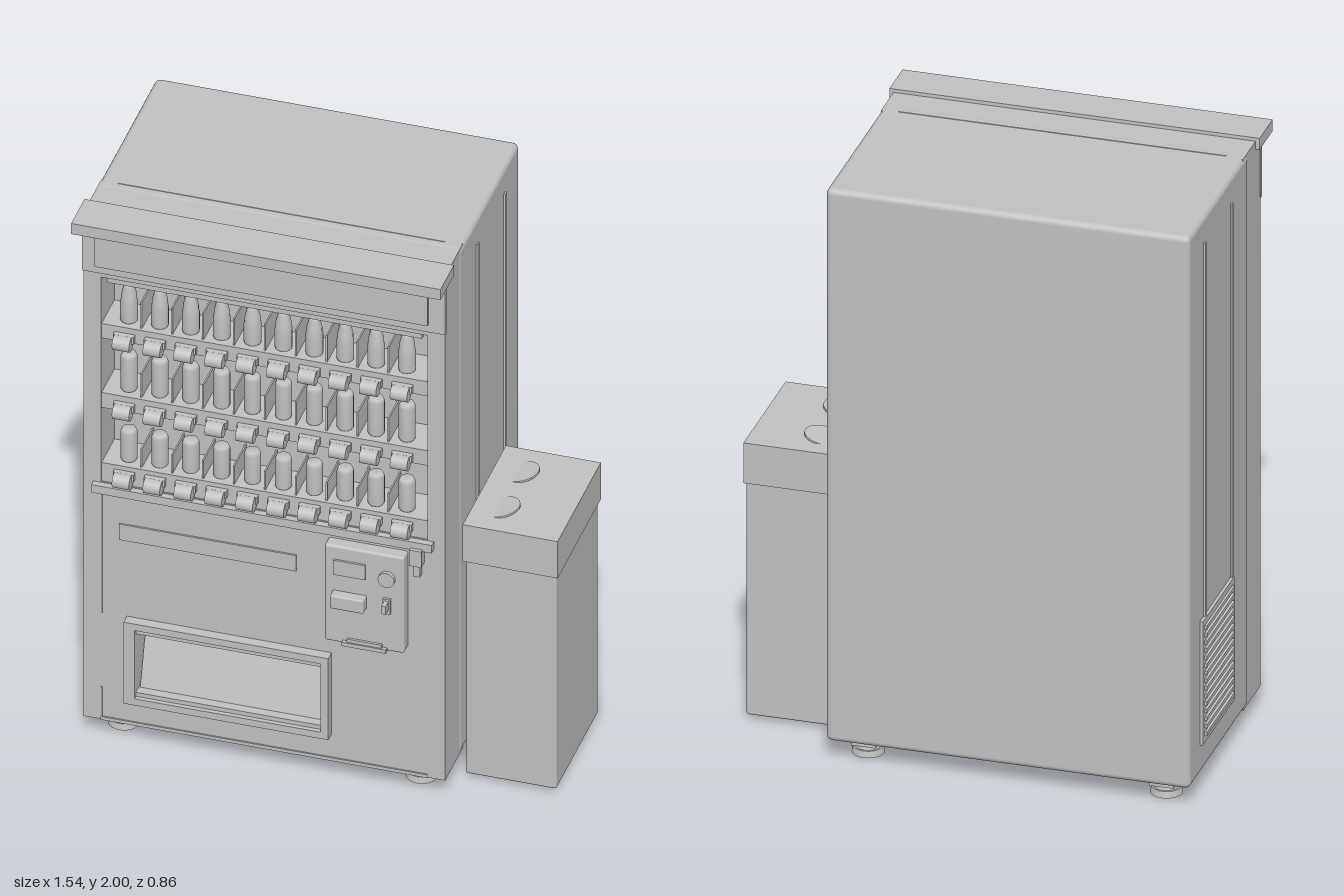
import * as THREE from 'three';
import { RoundedBoxGeometry } from 'three/addons/geometries/RoundedBoxGeometry.js';

export function createModel() {
  const model = new THREE.Group();
  model.name = 'vendingMachineWithBin';
  const grey = new THREE.MeshStandardMaterial({ color: 0xc0c0c0 });
  grey.name = 'plain grey';

  const add = (name, geometry, x = 0, y = 0, z = 0) => {
    const mesh = new THREE.Mesh(geometry, grey);
    mesh.name = name;
    mesh.position.set(x, y, z);
    model.add(mesh);
    return mesh;
  };
  // box given by its limits on each axis
  const box = (name, x0, x1, y0, y1, z0, z1) =>
    add(name, new THREE.BoxGeometry(x1 - x0, y1 - y0, z1 - z0), (x0 + x1) / 2, (y0 + y1) / 2, (z0 + z1) / 2);
  const roundBox = (name, x0, x1, y0, y1, z0, z1, r) =>
    add(name, new RoundedBoxGeometry(x1 - x0, y1 - y0, z1 - z0, 3, r), (x0 + x1) / 2, (y0 + y1) / 2, (z0 + z1) / 2);
  const trace = (path, x0, x1, y0, y1) =>
    path.moveTo(x0, y0).lineTo(x1, y0).lineTo(x1, y1).lineTo(x0, y1).closePath();
  // plate in the front plane with rectangular holes
  const plate = (name, outer, holes, z0, z1) => {
    const shape = trace(new THREE.Shape(), ...outer);
    holes.forEach((h) => shape.holes.push(trace(new THREE.Path(), ...h)));
    return add(name, new THREE.ExtrudeGeometry(shape, { depth: z1 - z0, bevelEnabled: false }), 0, 0, z0);
  };

  // cabinet and front door with window and dispenser openings
  roundBox('cabinet', -0.75, 0.44, 0.065, 1.99, -0.43, 0.2, 0.02);
  plate('door', [-0.747, 0.437, 0.065, 1.988],
    [[-0.69, 0.38, 0.97, 1.75], [-0.57, 0.04, 0.19, 0.45]], 0.155, 0.34);
  box('topCap', -0.76, 0.45, 1.96, 2.0, 0.29, 0.43);
  box('topSeam', -0.69, 0.38, 1.985, 1.992, 0.158, 0.165);
  box('header', -0.75, 0.44, 1.77, 1.96, 0.335, 0.349);
  box('headerSign', -0.705, 0.385, 1.8, 1.945, 0.345, 0.36);
  box('lampBar', -0.67, 0.36, 1.73, 1.75, 0.27, 0.335);
  box('sill', -0.715, 0.4, 0.938, 0.968, 0.33, 0.362);
  box('kickSeam', -0.69, 0.38, 0.066, 0.078, 0.335, 0.345);
  box('hingeSeamUpper', -0.692, -0.686, 0.47, 0.938, 0.335, 0.343);
  box('hingeSeamLower', -0.692, -0.686, 0.075, 0.19, 0.335, 0.343);

  // drinks: a bottle profile on the top shelf, cans on the others
  const profile = (pts) => new THREE.LatheGeometry(pts.map((p) => new THREE.Vector2(...p)), 16);
  const bottle = profile([[0, 0], [0.026, 0], [0.028, 0.008], [0.028, 0.075], [0.025, 0.085],
    [0.025, 0.1], [0.018, 0.128], [0.016, 0.146], [0, 0.146]]);
  const can = (h) => profile([[0, 0], [0.023, 0], [0.027, 0.008], [0.027, h - 0.012], [0.022, h], [0, h]]);
  const rows = [
    { top: 1.57, bottom: 1.515, button: 1.525, drink: bottle, divider: 0.1 },
    { top: 1.307, bottom: 1.25, button: 1.262, drink: can(0.138), divider: 0.09 },
    { top: 1.04, bottom: 0.97, button: 1.0, drink: can(0.118), divider: 0.07 },
  ];
  const buttonShape = new THREE.CylinderGeometry(0.025, 0.025, 0.056, 16).rotateZ(Math.PI / 2);
  for (const row of rows) {
    box('shelf', -0.69, 0.38, row.bottom, row.top, 0.19, 0.335);
    for (let i = 0; i < 10; i++) {
      const x = -0.614 + i * 0.1012;
      add('drink', row.drink, x, row.top, 0.29);
      add('button', buttonShape, x, row.button, 0.358);
      box('buttonHolder', x - 0.034, x + 0.034, row.button - 0.002, row.button + 0.024, 0.33, 0.352);
      if (i < 9) box('divider', x + 0.048, x + 0.053, row.top, row.top + row.divider, 0.2, 0.325);
    }
  }

  // lower door details
  box('labelStrip', -0.63, -0.05, 0.765, 0.825, 0.335, 0.346);
  roundBox('coinPanel', 0.055, 0.315, 0.55, 0.915, 0.32, 0.382, 0.008);
  box('display', 0.085, 0.19, 0.81, 0.865, 0.38, 0.389);
  add('coinSlot', new THREE.CylinderGeometry(0.027, 0.027, 0.016, 24).rotateX(Math.PI / 2), 0.26, 0.827, 0.387);
  roundBox('billSlot', 0.082, 0.192, 0.697, 0.747, 0.37, 0.415, 0.005);
  box('returnLeverPlate', 0.248, 0.272, 0.695, 0.752, 0.38, 0.39);
  box('returnLever', 0.253, 0.267, 0.715, 0.745, 0.385, 0.42);
  box('coinCupLip', 0.115, 0.26, 0.548, 0.562, 0.36, 0.395);
  box('coinCup', 0.13, 0.245, 0.56, 0.574, 0.375, 0.39);
  box('lockPlate', 0.33, 0.37, 0.885, 0.945, 0.335, 0.375);
  box('lockHandle', 0.34, 0.362, 0.84, 0.89, 0.335, 0.365);

  // dispenser frame and sloping flap
  plate('dispenserFrame', [-0.605, 0.065, 0.165, 0.475], [[-0.57, 0.04, 0.19, 0.45]], 0.335, 0.375);
  const flap = box('dispenserFlap', -0.565, 0.035, 0.2, 0.435, 0.29, 0.296);
  flap.rotation.x = -0.3;
  box('flapTopRail', -0.57, 0.04, 0.428, 0.45, 0.24, 0.36);
  box('flapBottomRail', -0.57, 0.04, 0.19, 0.205, 0.24, 0.36);

  // side ribs and louvred vents, on both sides
  for (const [x, s] of [[0.44, 1], [-0.75, -1]]) {
    const side = (name, y0, y1, z0, z1, out) =>
      box(name, Math.min(x - s * 0.01, x + s * out), Math.max(x - s * 0.01, x + s * out), y0, y1, z0, z1);
    side('sideRib', 0.6, 1.9, 0.01, 0.024, 0.006);
    side('sideRib', 0.6, 1.9, -0.278, -0.264, 0.006);
    side('ventPlate', 0.17, 0.6, -0.318, 0.02, 0.01);
    for (let i = 0; i < 15; i++) {
      const y = 0.195 + i * 0.0265;
      side('ventLouvre', y, y + 0.013, -0.298, 0.0, 0.018);
    }
  }

  // underside rails and feet
  box('crossRail', -0.645, 0.33, 0.045, 0.07, 0.2, 0.27);
  for (const x of [-0.645, 0.33]) {
    box('footRail', x - 0.04, x + 0.04, 0.04, 0.07, -0.385, 0.29);
    for (const z of [0.24, -0.33]) {
      add('foot', new THREE.CylinderGeometry(0.048, 0.052, 0.022, 20), x, 0.011, z);
      add('footStem', new THREE.CylinderGeometry(0.036, 0.042, 0.03, 20), x, 0.035, z);
    }
  }

  // bin with lid and two tilted round flaps
  roundBox('binBody', 0.465, 0.762, 0.015, 0.9, -0.225, 0.215, 0.008);
  box('binLid', 0.457, 0.768, 0.825, 0.965, -0.233, 0.22);
  for (const z of [-0.11, 0.092]) {
    const hatch = add('binFlap', new THREE.CylinderGeometry(0.06, 0.06, 0.006, 32), 0.545, 0.964, z);
    hatch.rotation.z = 0.22;
  }
  return model;
}
